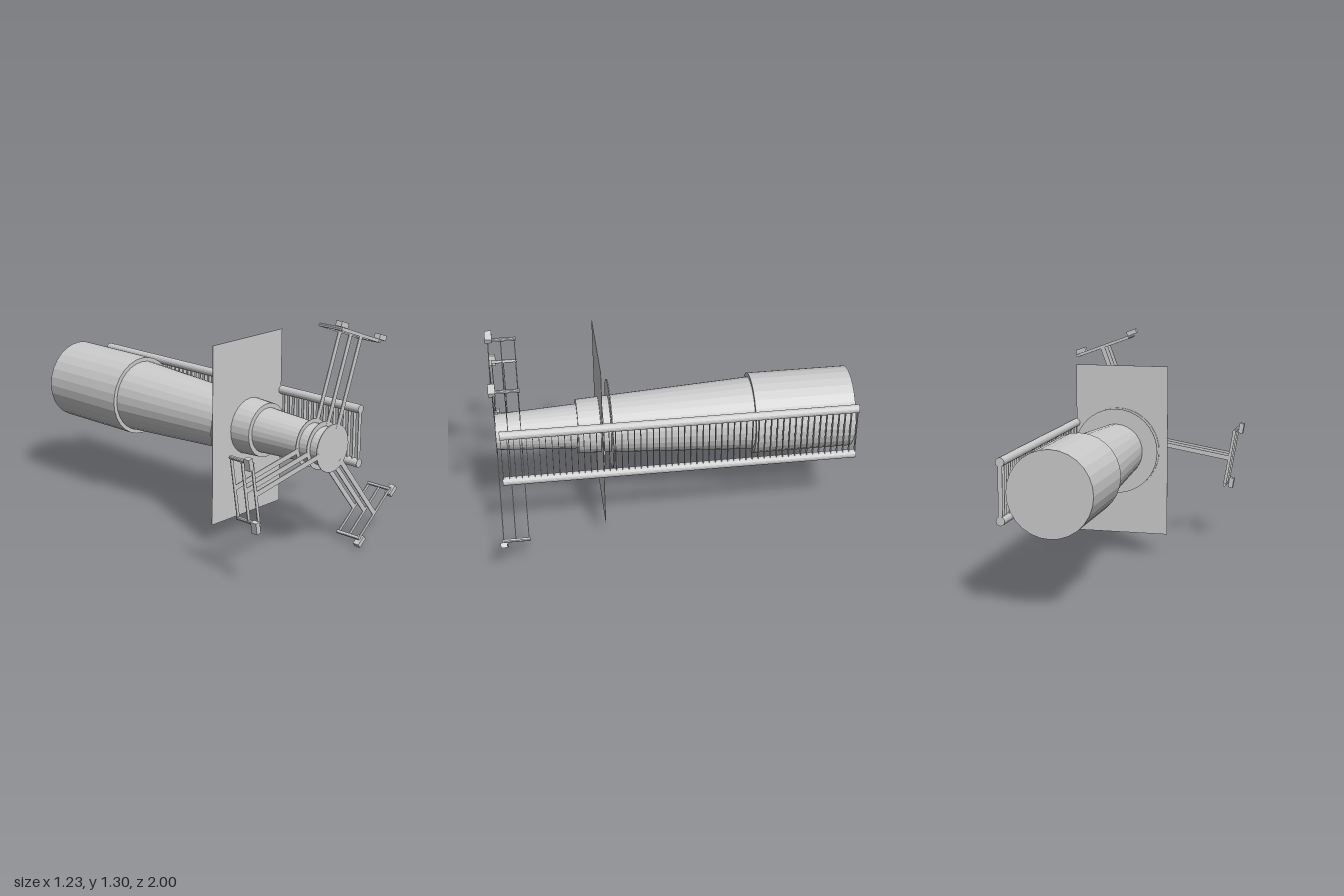
import * as THREE from 'three';

const material = new THREE.MeshStandardMaterial({ color: 0xcccccc, flatShading: true, side: THREE.DoubleSide });
const AXIS_X = 0.047, AXIS_Y = 0.63;

function add(parent, name, geometry, x = 0, y = 0, z = 0) {
  const mesh = new THREE.Mesh(geometry, material);
  mesh.name = name;
  mesh.position.set(x, y, z);
  parent.add(mesh);
  return mesh;
}

// Cylinder lying along z between two depths
function rod(parent, name, radius, z0, z1, x, y, sides = 16) {
  const geometry = new THREE.CylinderGeometry(radius, radius, z1 - z0, sides).rotateX(Math.PI / 2);
  return add(parent, name, geometry, x, y, (z0 + z1) / 2);
}

// One three-layered T-shaped arm, built along +x from the tube axis
function createArm(layers) {
  const arm = new THREE.Group();
  arm.name = 'arm';
  for (const z of layers) {
    add(arm, 'spoke', new THREE.BoxGeometry(0.5, 0.028, 0.005), 0.35, 0, z);
    add(arm, 'crossbar', new THREE.BoxGeometry(0.018, 0.345, 0.005), 0.604, 0, z);
  }
  for (const side of [-1, 1]) {
    rod(arm, 'endRod', 0.01, 0.838, 0.99, 0.604, side * 0.17, 10);
    add(arm, 'foot', new THREE.BoxGeometry(0.028, 0.062, 0.037), 0.626, side * 0.175, 0.9815);
  }
  return arm;
}

export function createModel() {
  const model = new THREE.Group();
  model.name = 'model';

  // Everything centred on the tube axis
  const core = new THREE.Group();
  core.name = 'tubeAssembly';
  core.position.set(AXIS_X, AXIS_Y, 0);
  model.add(core);

  // Stepped, tapering body
  const profile = [
    [0, -1], [0.228, -1], [0.228, -0.44], [0.205, -0.44],
    [0.15, 0.535], [0.125, 0.535], [0.1, 0.987], [0, 0.987],
  ].map(([r, z]) => new THREE.Vector2(r, z));
  add(core, 'body', new THREE.LatheGeometry(profile, 28).rotateX(Math.PI / 2));

  // Paired collar discs behind the flat panel
  for (const z of [0.353, 0.403]) rod(core, 'collarDisc', 0.25, z - 0.003, z + 0.003, 0, 0, 40);

  // Hub discs and the three arms
  const layers = [0.846, 0.918, 0.985];
  for (const z of layers) rod(core, 'hubDisc', 0.13, z - 0.002, z + 0.002, 0, 0, 32);
  for (let i = 0; i < 3; i++) {
    const arm = createArm(layers);
    arm.rotation.z = THREE.MathUtils.degToRad(69.6 + i * 120);
    core.add(arm);
  }

  // Flat rectangular panel
  add(model, 'panel', new THREE.BoxGeometry(0.553, 1, 0.003), 0.0245, 0.63, 0.41);

  // Ladder along the side: two rails joined by thin upright slats
  const ladder = new THREE.Group();
  ladder.name = 'ladder';
  model.add(ladder);
  for (const y of [0.48, 0.782]) rod(ladder, 'rail', 0.024, -1, 0.965, 0.305, y);
  const count = 58;
  for (let i = 0; i < count; i++) {
    const z = -0.995 + (1.955 * i) / (count - 1);
    add(ladder, 'slat', new THREE.BoxGeometry(0.024, 0.3, 0.003), 0.305, 0.631, z);
  }
  return model;
}
